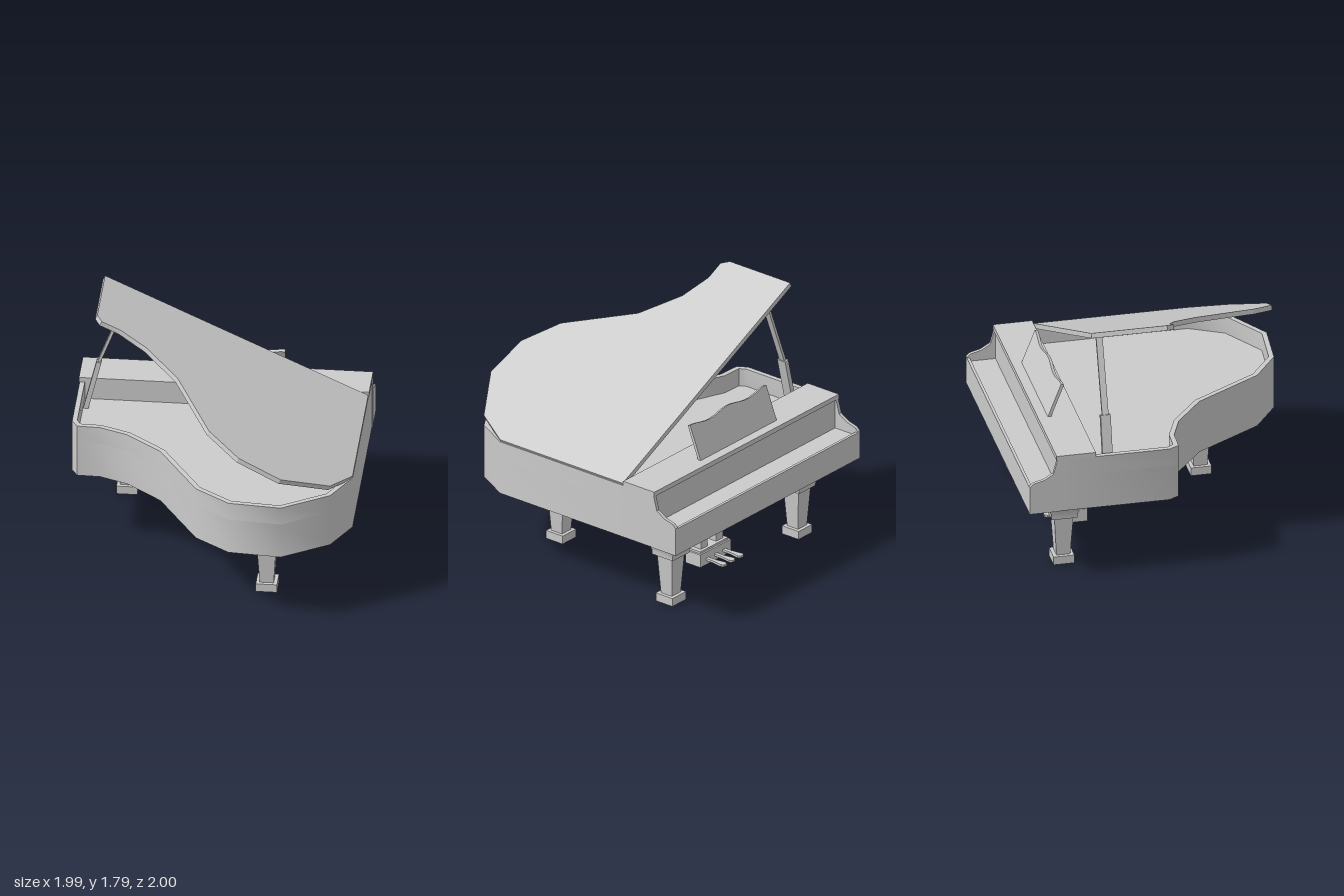
import * as THREE from 'three';
import { toCreasedNormals } from 'three/addons/utils/BufferGeometryUtils.js';

const material = new THREE.MeshStandardMaterial({ color: 0xcccccc, side: THREE.DoubleSide });

// Plan points are [x, z]
const curve = [[-0.99, -0.02], [-0.95, 0.05], [-0.79, 0.055], [-0.6, 0.13], [-0.35, 0.33],
  [-0.06, 0.8], [0.18, 0.97], [0.54, 1], [0.86, 0.8], [0.99, 0.55]];
const lidCurve = [[-0.815, 0], [-0.78, 0.055], [-0.65, 0.055], [-0.46, 0.13], [-0.23, 0.33],
  [0.03, 0.8], [0.25, 0.97], [0.54, 1], [0.86, 0.8], [0.99, 0.55]];

function part(parent, name, geometry, x = 0, y = 0, z = 0, crease = 0.4) {
  const mesh = new THREE.Mesh(toCreasedNormals(geometry, crease), material);
  mesh.name = name;
  mesh.position.set(x, y, z);
  parent.add(mesh);
  return mesh;
}

function box(parent, name, [x0, x1], [y0, y1], [z0, z1]) {
  return part(parent, name, new THREE.BoxGeometry(x1 - x0, y1 - y0, z1 - z0),
    (x0 + x1) / 2, (y0 + y1) / 2, (z0 + z1) / 2);
}

const planPoints = pts => pts.map(([x, z]) => new THREE.Vector2(x, -z));

// Horizontal slab with a plan outline, rising from y = 0
function slab(pts, height, hole) {
  const shape = new THREE.Shape(planPoints(pts));
  if (hole) shape.holes.push(new THREE.Path(planPoints(hole)));
  return new THREE.ExtrudeGeometry(shape, { depth: height, bevelEnabled: false }).rotateX(-Math.PI / 2);
}

// Mitred inward offset of a closed plan outline
function inset(pts, d) {
  const n = pts.length;
  const normal = (a, b) => {
    const l = Math.hypot(b[0] - a[0], b[1] - a[1]);
    return [(b[1] - a[1]) / l, -(b[0] - a[0]) / l];
  };
  return pts.map((p, i) => {
    const m = normal(pts[(i + n - 1) % n], p), k = normal(p, pts[(i + 1) % n]);
    const s = d / (1 + m[0] * k[0] + m[1] * k[1]);
    return [p[0] + (m[0] + k[0]) * s, p[1] + (m[1] + k[1]) * s];
  });
}

// Square section turned from a profile of [half width, y]
function squareTurned(profile) {
  const pts = profile.map(([w, y]) => new THREE.Vector2(w * Math.SQRT2, y));
  return new THREE.LatheGeometry(pts, 4).rotateY(Math.PI / 4);
}

function leg(parent, name, x, z) {
  const g = new THREE.Group();
  g.name = name;
  g.position.set(x, 0, z);
  parent.add(g);
  box(g, 'foot', [-0.073, 0.073], [0, 0.06], [-0.073, 0.073]);
  part(g, 'shaft', squareTurned([[0.048, 0.06], [0.067, 0.36]]));
  part(g, 'capital', squareTurned([[0, 0.355], [0.09, 0.355], [0.092, 0.39], [0.103, 0.42], [0.125, 0.448],
    [0.16, 0.468], [0.2, 0.478], [0.228, 0.495], [0.228, 0.525]]), 0, 0, 0, 0.6);
  box(g, 'topPlate', [-0.265, 0.265], [0.525, 0.542], [-0.265, 0.265]);
}

// Bar between two points lying in a plane of constant z
function bar(parent, name, [x0, y0], [x1, y1], z, width, depth) {
  const m = part(parent, name, new THREE.BoxGeometry(width, Math.hypot(x1 - x0, y1 - y0), depth),
    (x0 + x1) / 2, (y0 + y1) / 2, z);
  m.rotation.z = Math.atan2(x0 - x1, y1 - y0);
}

export function createModel() {
  const piano = new THREE.Group();
  piano.name = 'grandPiano';

  // Case: closed bottom with a raised rim around the soundboard
  const outline = [[-0.99, -0.8], ...curve, [0.99, -0.8]];
  const opening = inset([[-0.99, -0.575], ...curve, [0.99, -0.575]], 0.035);
  part(piano, 'case', slab(outline, 0.26), 0, 0.54, 0, 0.85);
  part(piano, 'rim', slab(outline, 0.13, opening), 0, 0.8, 0, 0.85);

  // Keyboard end: bed, front lip and shaped cheeks
  box(piano, 'keyBed', [-0.98, 0.98], [0.54, 0.715], [-0.985, -0.8]);
  box(piano, 'frontLip', [-0.98, 0.98], [0.54, 0.74], [-1, -0.98]);
  const cheek = new THREE.Shape([[0.79, 0.54], [1, 0.54], [1, 0.745], [0.975, 0.77], [0.9, 0.79],
    [0.835, 0.83], [0.805, 0.94], [0.79, 0.94]].map(p => new THREE.Vector2(...p)));
  for (const [name, x] of [['rightCheek', -0.995], ['leftCheek', 0.97]]) {
    const g = new THREE.ExtrudeGeometry(cheek, { depth: 0.025, bevelEnabled: false }).rotateY(Math.PI / 2);
    part(piano, name, g, x, 0, 0);
  }
  box(piano, 'frontCover', [-0.995, 0.995], [0.93, 0.965], [-0.812, -0.538]);

  // Raised lid, hinged along the left side
  const slope = Math.atan(0.468), t = 0.035;
  const lidPlan = [[-0.815, -0.53], ...lidCurve, [0.99, -0.53]]
    .map(([x, z]) => [(x - 0.99) / Math.cos(slope), z]);
  const lid = part(piano, 'lid', slab(lidPlan, t),
    0.99 - t * Math.sin(slope), 0.945 - t * Math.cos(slope), 0);
  lid.rotation.z = -slope;

  // Lid prop in two sections
  bar(piano, 'propBase', [-0.935, 0.8], [-0.845, 1.17], -0.44, 0.035, 0.07);
  bar(piano, 'propStick', [-0.86, 1.13], [-0.65, 1.68], -0.44, 0.02, 0.045);

  // Music desk with a wavy top edge
  const desk = new THREE.Shape();
  desk.moveTo(-0.41, 0);
  desk.lineTo(0.41, 0);
  for (let i = 0; i <= 24; i++) {
    const x = 0.41 - i * 0.82 / 24;
    desk.lineTo(x, 0.25 + 0.013 * Math.cos(x / 0.41 * 2 * Math.PI));
  }
  const deskMesh = part(piano, 'musicDesk',
    new THREE.ExtrudeGeometry(desk, { depth: 0.022, bevelEnabled: false }), 0, 0.96, -0.745);
  deskMesh.rotation.x = 0.37;

  // Legs
  leg(piano, 'leftLeg', 0.685, -0.705);
  leg(piano, 'rightLeg', -0.675, -0.705);
  leg(piano, 'tailLeg', 0.4, 0.495);

  // Pedal lyre
  const lyre = new THREE.Group();
  lyre.name = 'pedalLyre';
  piano.add(lyre);
  box(lyre, 'pedalBox', [-0.165, 0.165], [0, 0.095], [-0.54, -0.41]);
  box(lyre, 'pedalBoxTop', [-0.15, 0.15], [0.095, 0.11], [-0.527, -0.423]);
  for (const x of [-0.085, 0.08]) {
    box(lyre, 'post', [x - 0.036, x + 0.036], [0.11, 0.54], [-0.505, -0.445]);
  }
  const pedalPlan = [[-0.014, -0.53], [0.014, -0.53], [0.014, -0.6], [0.026, -0.68],
    [0.015, -0.7], [-0.015, -0.7], [-0.026, -0.68], [-0.014, -0.6]];
  for (const x of [-0.09, 0, 0.09]) part(lyre, 'pedal', slab(pedalPlan, 0.016), x, 0.032, 0);

  return piano;
}
